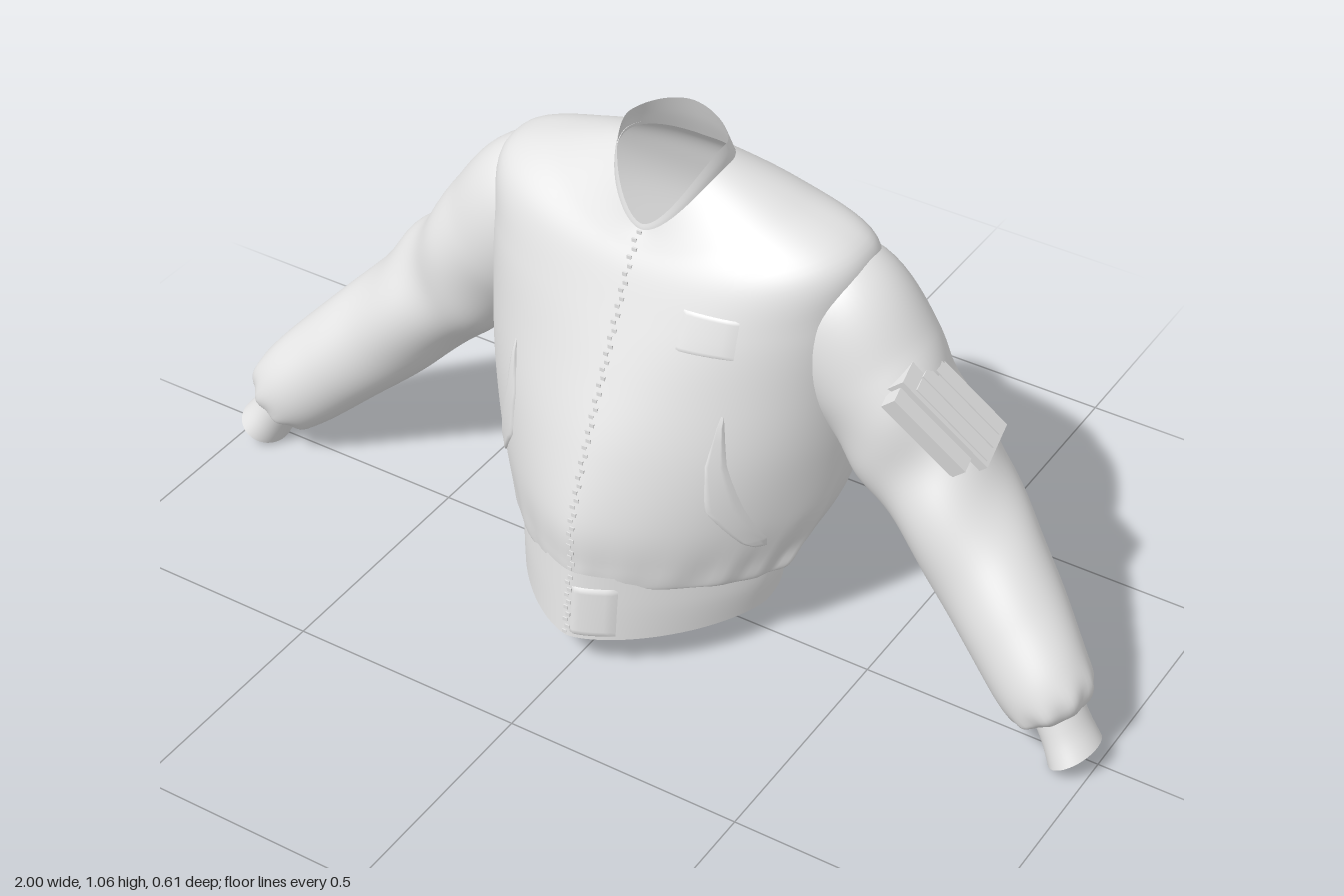
import * as THREE from 'three';

const cloth = new THREE.MeshStandardMaterial({ color: 0xe4e4e4, side: THREE.DoubleSide });
cloth.name = 'light grey cloth';

// Smooth interpolation through rows of numbers, t in 0..1
function sample(rows, t) {
  const f = t * (rows.length - 1);
  const i = Math.min(Math.floor(f), rows.length - 2), k = f - i;
  const row = (j) => rows[Math.max(0, Math.min(rows.length - 1, j))];
  const [a, b, c, d] = [row(i - 1), row(i), row(i + 1), row(i + 2)];
  return b.map((_, n) => 0.5 * (2 * b[n] + (c[n] - a[n]) * k
    + (2 * a[n] - 5 * b[n] + 4 * c[n] - d[n]) * k * k
    + (3 * b[n] - a[n] - 3 * c[n] + d[n]) * k * k * k));
}

// Grid surface from point(u, v); closed surfaces wrap around in v
function surface(name, nu, nv, closed, point) {
  const pos = [], index = [], cols = closed ? nv : nv + 1;
  for (let i = 0; i <= nu; i++)
    for (let j = 0; j < cols; j++) pos.push(...point(i / nu, j / nv));
  for (let i = 0; i < nu; i++)
    for (let j = 0; j < nv; j++) {
      const k = (j + 1) % cols;
      const a = i * cols + j, b = i * cols + k, c = a + cols, d = b + cols;
      index.push(a, c, b, b, c, d);
    }
  const g = new THREE.BufferGeometry();
  g.setAttribute('position', new THREE.Float32BufferAttribute(pos, 3));
  g.setIndex(index);
  g.computeVertexNormals();
  const mesh = new THREE.Mesh(g, cloth);
  mesh.name = name;
  return mesh;
}

// Body rings: half width, front z, back z, side y, front y, back y, side z, front and back roundness
const bodyRows = [
  [0.266, 0.284, -0.197, 0.2, 0.232, 0.212, 0, 1.35, 0.85],
  [0.302, 0.282, -0.25, 0.18, 0.212, 0.188, 0, 1.4, 0.8],
  [0.328, 0.284, -0.285, 0.23, 0.25, 0.24, -0.02, 1.4, 0.75],
  [0.37, 0.28, -0.3, 0.33, 0.34, 0.33, -0.05, 1.4, 0.7],
  [0.396, 0.23, -0.295, 0.47, 0.48, 0.47, -0.095, 1.2, 0.65],
  [0.403, 0.167, -0.29, 0.62, 0.62, 0.62, -0.125, 1, 0.62],
  [0.4, 0.117, -0.285, 0.77, 0.73, 0.76, -0.13, 0.87, 0.66],
  [0.388, 0.08, -0.263, 0.885, 0.81, 0.855, -0.13, 0.87, 0.76],
  [0.25, 0.054, -0.237, 0.945, 0.855, 0.92, -0.12, 0.9, 0.85],
  [0.112, 0.036, -0.19, 1, 0.885, 0.97, -0.09, 1, 1],
];
const bandRows = [
  [0.27, 0.305, -0.212, 0.08, 0.085, 0.095, 0, 1.35, 0.85],
  [0.275, 0.296, -0.195, 0.14, 0.165, 0.15, 0, 1.35, 0.85],
  [0.268, 0.288, -0.2, 0.2, 0.235, 0.214, 0, 1.35, 0.85],
];
const collarRows = [
  [0.114, 0.037, -0.191, 0.992, 0.882, 0.967, -0.09, 1, 1],
  [0.112, 0.036, -0.168, 1.015, 0.888, 1.015, -0.09, 1, 1],
  [0.106, 0.034, -0.146, 1.04, 0.895, 1.07, -0.088, 1, 1],
];

function ringLoft(name, rows, nu, folds) {
  return surface(name, nu, 112, true, (u, v) => {
    const [w, zf, zb, ys, yf, yb, zs, fe, be] = sample(rows, u);
    const a = v * Math.PI * 2, c = Math.cos(a), s = Math.sin(a);
    const e = s > 0 ? fe : be;
    const f = folds ? folds(u, a) : 1;
    const ends = 1 - Math.abs(c) ** 1.7;
    return [
      Math.sign(c) * Math.abs(c) ** e * w * f,
      ys + ((s > 0 ? yf : yb) - ys) * ends,
      zs + ((s > 0 ? zf : zb) - zs) * Math.abs(s) ** e * f,
    ];
  });
}

// Gathers above the waistband and soft drape higher up
function bodyFolds(u, a) {
  const gather = Math.exp(-(((u - 0.18) / 0.09) ** 2)) * (Math.sin(a) < 0.6 ? 1 : 0.35);
  const drape = Math.sin(Math.PI * Math.min(1, u / 0.85));
  return 1 + 0.014 * gather * (Math.sin(23 * a) + 0.6 * Math.sin(14 * a + 1))
    + 0.004 * drape * Math.sin(6 * a + 9 * u);
}

// Sleeve rings: centre x, y, z, radius in the front plane, radius in depth
const sleeveRows = [
  [0.25, 0.765, -0.13, 0.115, 0.1],
  [0.33, 0.735, -0.13, 0.15, 0.134],
  [0.415, 0.637, -0.127, 0.146, 0.138],
  [0.49, 0.545, -0.123, 0.132, 0.132],
  [0.57, 0.452, -0.122, 0.127, 0.132],
  [0.68, 0.34, -0.088, 0.117, 0.121],
  [0.777, 0.248, -0.048, 0.109, 0.113],
  [0.86, 0.168, -0.008, 0.1, 0.1],
  [0.9, 0.125, 0.004, 0.088, 0.086],
  [0.912, 0.108, 0.006, 0.055, 0.06],
];
const cuffRows = [
  [0.903, 0.12, 0.003, 0.05, 0.056],
  [0.932, 0.074, 0.01, 0.049, 0.058],
  [0.958, 0.034, 0.018, 0.053, 0.065],
];

function armLoft(name, rows, side, nu, folds) {
  return surface(name, nu, 56, true, (u, v) => {
    const [x, y, z, rn, rz] = sample(rows, u);
    const p = sample(rows, Math.max(0, u - 0.02)), q = sample(rows, Math.min(1, u + 0.02));
    const tx = q[0] - p[0], ty = q[1] - p[1], len = Math.hypot(tx, ty);
    const a = side * v * Math.PI * 2, f = folds ? folds(u, a) : 1;
    const n = Math.cos(a) * rn * f;
    return [side * (x - (ty / len) * n), y + (tx / len) * n, z - Math.sin(a) * rz * f];
  });
}

// Diagonal creases at the elbow, gathers at the wrist
function sleeveFolds(u, a) {
  const elbow = Math.exp(-(((u - 0.4) / 0.15) ** 2));
  const wrist = Math.exp(-(((u - 0.92) / 0.07) ** 2));
  return 1 + 0.04 * elbow * Math.sin(34 * u + 2 * a) + 0.03 * elbow * Math.sin(19 * u - 3 * a)
    + 0.05 * wrist * Math.sin(9 * a) + 0.008 * Math.sin(11 * u + 2 * a);
}

// Depth of the front of a mesh at x, y
const ray = new THREE.Raycaster();
function frontZ(meshes, x, y) {
  ray.set(new THREE.Vector3(x, y, 2), new THREE.Vector3(0, 0, -1));
  const hit = ray.intersectObjects(meshes)[0];
  return hit ? hit.point.z : 0;
}

// Cloth panel laid on the front; rows are y, inner x, outer x
function panel(name, target, rows, lift) {
  return surface(name, 16, 8, false, (u, v) => {
    const f = u * (rows.length - 1), i = Math.min(Math.floor(f), rows.length - 2);
    const [y, x0, x1] = rows[i].map((n, k) => THREE.MathUtils.lerp(n, rows[i + 1][k], f - i));
    const x = THREE.MathUtils.lerp(x0, x1, v);
    const edge = u === 0 || u === 1 || v === 0 || v === 1;
    return [x, y, frontZ([target], x, y) + (edge ? -0.002 : lift)];
  });
}

export function createModel() {
  const jacket = new THREE.Group();
  jacket.name = 'jacket';
  const body = ringLoft('body', bodyRows, 72, bodyFolds);
  const band = ringLoft('waistband', bandRows, 12);
  jacket.add(body, band, ringLoft('collar', collarRows, 12));

  for (const side of [1, -1]) {
    const label = side > 0 ? 'left' : 'right';
    jacket.add(armLoft(label + 'Sleeve', sleeveRows, side, 80, sleeveFolds));
    jacket.add(armLoft(label + 'Cuff', cuffRows, side, 8));
    // Slanted hand pocket
    const leaf = [[0.275, 0.295, 0.302], [0.3, 0.27, 0.305], [0.39, 0.218, 0.278],
      [0.49, 0.213, 0.25], [0.6, 0.23, 0.234]];
    jacket.add(panel(label + 'HandPocket', body,
      leaf.map(([y, a, b]) => [y, side * a, side * b]), 0.006));
  }
  jacket.add(panel('chestPatch', body, [[0.705, 0.12, 0.245], [0.785, 0.12, 0.245]], 0.002));
  jacket.add(panel('waistbandTab', band, [[0.09, 0, 0.09], [0.205, 0, 0.09]], 0.004));

  // Front zip teeth
  const zip = new THREE.Group();
  zip.name = 'frontZip';
  const tooth = new THREE.BoxGeometry(0.01, 0.008, 0.006);
  for (let i = 0; i < 56; i++) {
    const y = 0.092 + i * 0.0143;
    const x = (i % 2 ? 1 : -1) * 0.003 - 0.004;
    const mesh = new THREE.Mesh(tooth, cloth);
    mesh.name = 'zipTooth';
    mesh.position.set(x, y, frontZ([body, band], x, y) - 0.001);
    zip.add(mesh);
  }
  jacket.add(zip);

  // Utility pocket on the left sleeve with pen slots and a zip flap
  const pocket = new THREE.Group();
  pocket.name = 'sleevePocket';
  const addBox = (name, w, h, d, x, y, z) => {
    const mesh = new THREE.Mesh(new THREE.BoxGeometry(w, h, d), cloth);
    mesh.name = name;
    mesh.position.set(x, y, z);
    pocket.add(mesh);
  };
  addBox('pocketBase', 0.24, 0.05, 0.115, 0, 0, -0.012);
  addBox('pocketFlap', 0.2, 0.036, 0.035, -0.012, -0.006, 0.064);
  for (let i = 0; i < 3; i++) addBox('penSlot', 0.2, 0.004, 0.028, 0.012, 0.026, -0.048 + i * 0.035);
  pocket.position.set(0.584, 0.613, -0.093);
  pocket.rotation.set(0, 0.25, -0.84, 'ZYX');
  jacket.add(pocket);
  return jacket;
}
